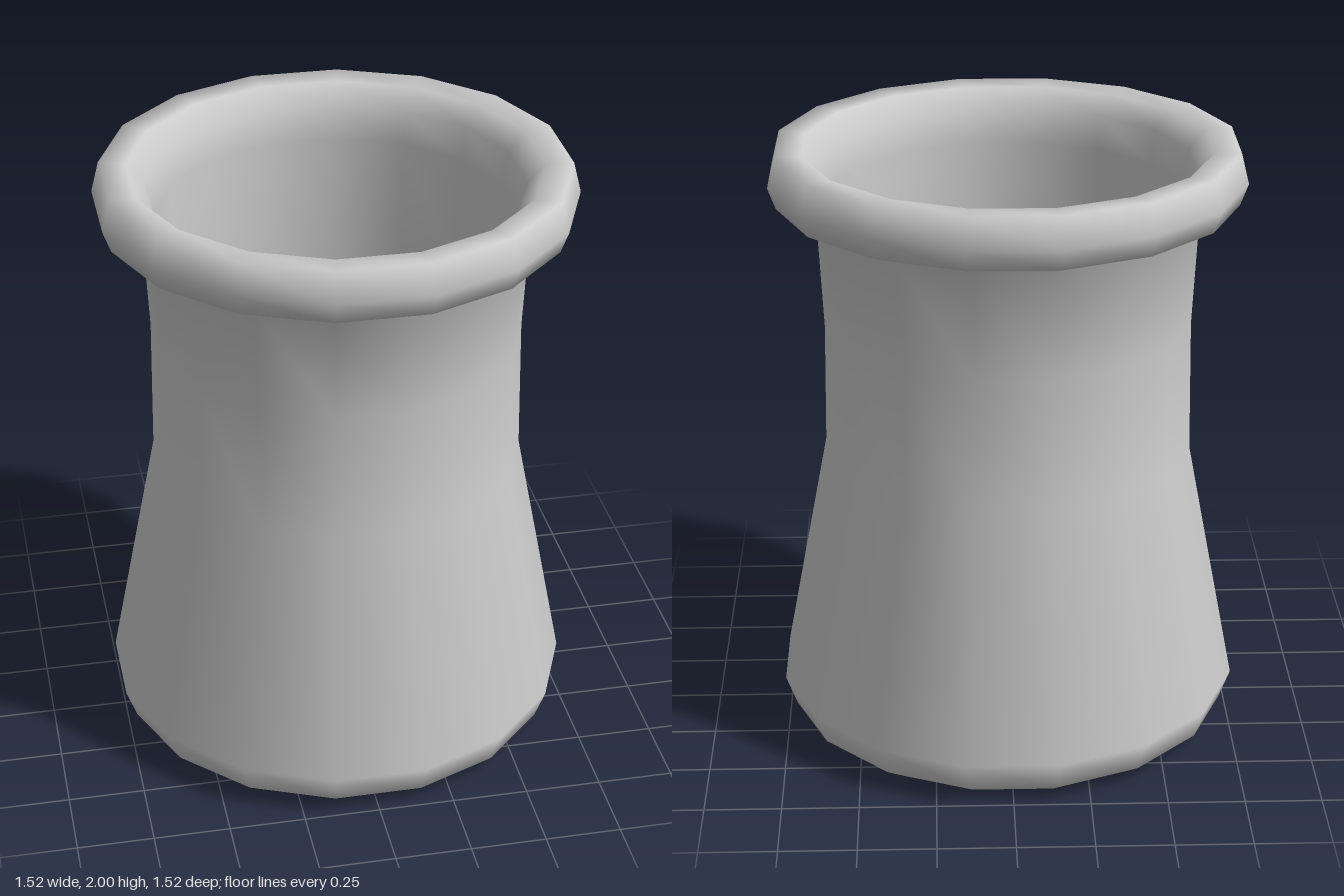
import * as THREE from 'three';

const SIDES = 16;
// Radii are measured to the middle of each flat, so scale them out to the corners.
const toCorner = 1 / Math.cos(Math.PI / SIDES);

function lathe(name, profile, material) {
  const points = profile.map(([r, y]) => new THREE.Vector2(r * toCorner, y));
  const mesh = new THREE.Mesh(new THREE.LatheGeometry(points, SIDES, Math.PI / SIDES), material);
  mesh.name = name;
  return mesh;
}

export function createModel() {
  const group = new THREE.Group();
  group.name = 'jar';
  const material = new THREE.MeshStandardMaterial({ color: 0xcccccc });

  // One continuous skin: underside, flared body, rolled rim, then down the inside to the floor
  group.add(lathe('jarBody', [
    // underside and rounded foot
    [0, 0], [0.66, 0.005], [0.725, 0.05], [0.76, 0.15],
    // flared body and straight neck
    [0.6, 0.98], [0.593, 1.42], [0.61, 1.78],
    // rolled rim
    [0.735, 1.83], [0.76, 1.9], [0.735, 2], [0.65, 1.995], [0.595, 1.93], [0.573, 1.82],
    // inner wall and floor
    [0.572, 1.42], [0.575, 0.98], [0.72, 0.17], [0.66, 0.07], [0, 0.05],
  ], material));

  return group;
}
